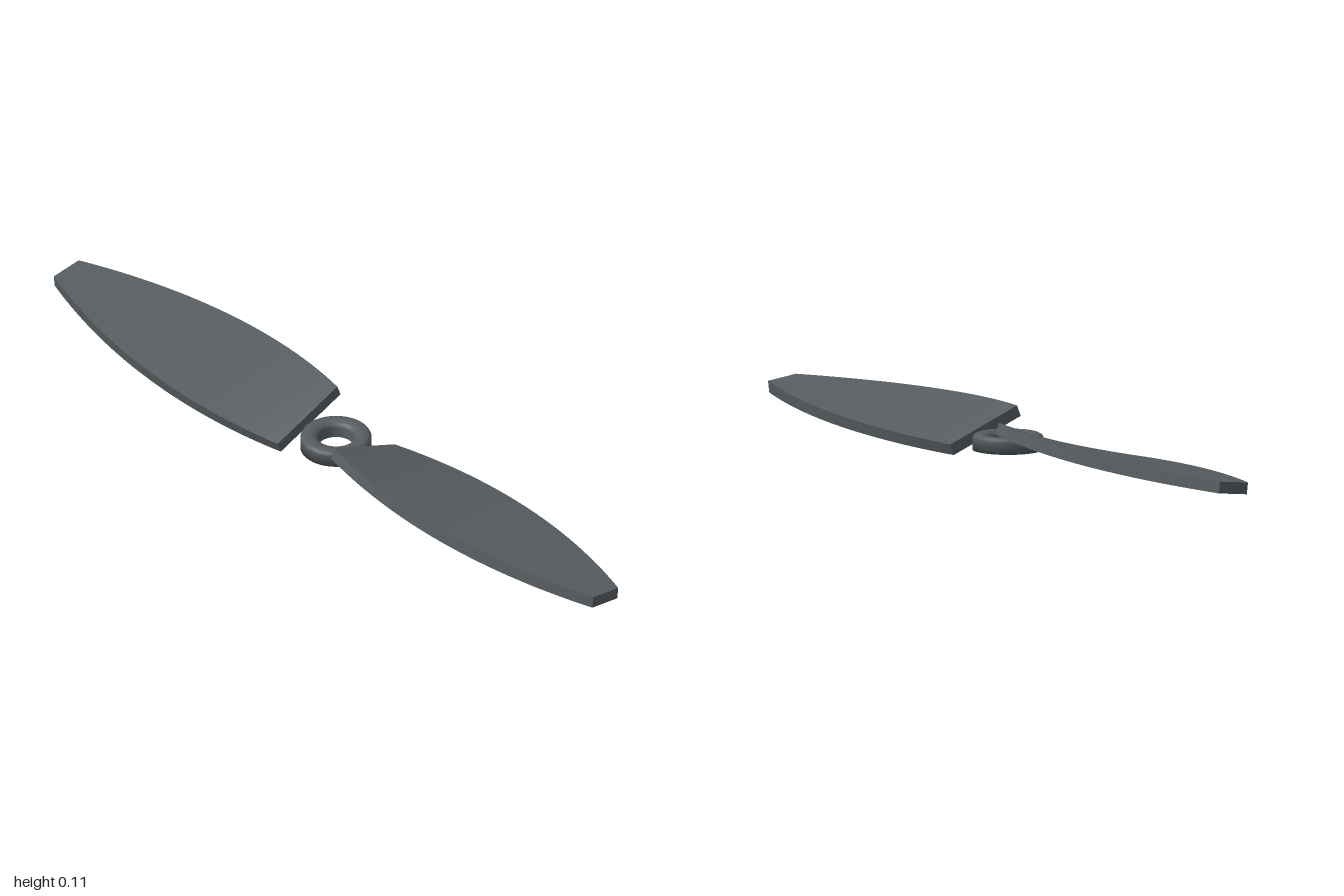
import * as THREE from 'three';

const MID_Y = 0.055, ROOT = 0.1, LENGTH = 0.9, THICKNESS = 0.03;

// Plank bent by rule: chord swells then tapers, pitch fades from root to tip
function bladeGeometry() {
  const geo = new THREE.BoxGeometry(LENGTH, THICKNESS, 2, 40, 1, 2);
  const pos = geo.attributes.position;
  for (let i = 0; i < pos.count; i++) {
    const t = pos.getX(i) / LENGTH + 0.5;
    const halfChord = 0.11 + 0.187 * t - 0.254 * t * t;
    const rise = THREE.MathUtils.lerp(0.0405, 0.005, t);
    const pitch = Math.asin(rise / halfChord);
    const across = pos.getZ(i) * halfChord, v = pos.getY(i);
    pos.setXYZ(
      i,
      ROOT + t * LENGTH,
      MID_Y + across * Math.sin(pitch) + v * Math.cos(pitch),
      across * Math.cos(pitch) - v * Math.sin(pitch)
    );
  }
  geo.computeVertexNormals();
  return geo;
}

// Ring with a flat base and rounded crown
function hubGeometry() {
  const profile = [
    [0.045, 0.02], [0.09, 0.02], [0.09, 0.05], [0.087, 0.056], [0.08, 0.06],
    [0.068, 0.061], [0.058, 0.059], [0.05, 0.055], [0.045, 0.048], [0.045, 0.02],
  ].map(([r, y]) => new THREE.Vector2(r, y));
  return new THREE.LatheGeometry(profile, 48);
}

export function createModel() {
  const group = new THREE.Group();
  const material = new THREE.MeshStandardMaterial({ color: 0x565c60 });

  const hub = new THREE.Mesh(hubGeometry(), material);
  hub.name = 'hub';
  group.add(hub);

  // Two blades, half a turn apart
  const blade = bladeGeometry();
  ['leftBlade', 'rightBlade'].forEach((name, i) => {
    const mesh = new THREE.Mesh(blade, material);
    mesh.name = name;
    mesh.rotation.y = i * Math.PI;
    group.add(mesh);
  });
  return group;
}
